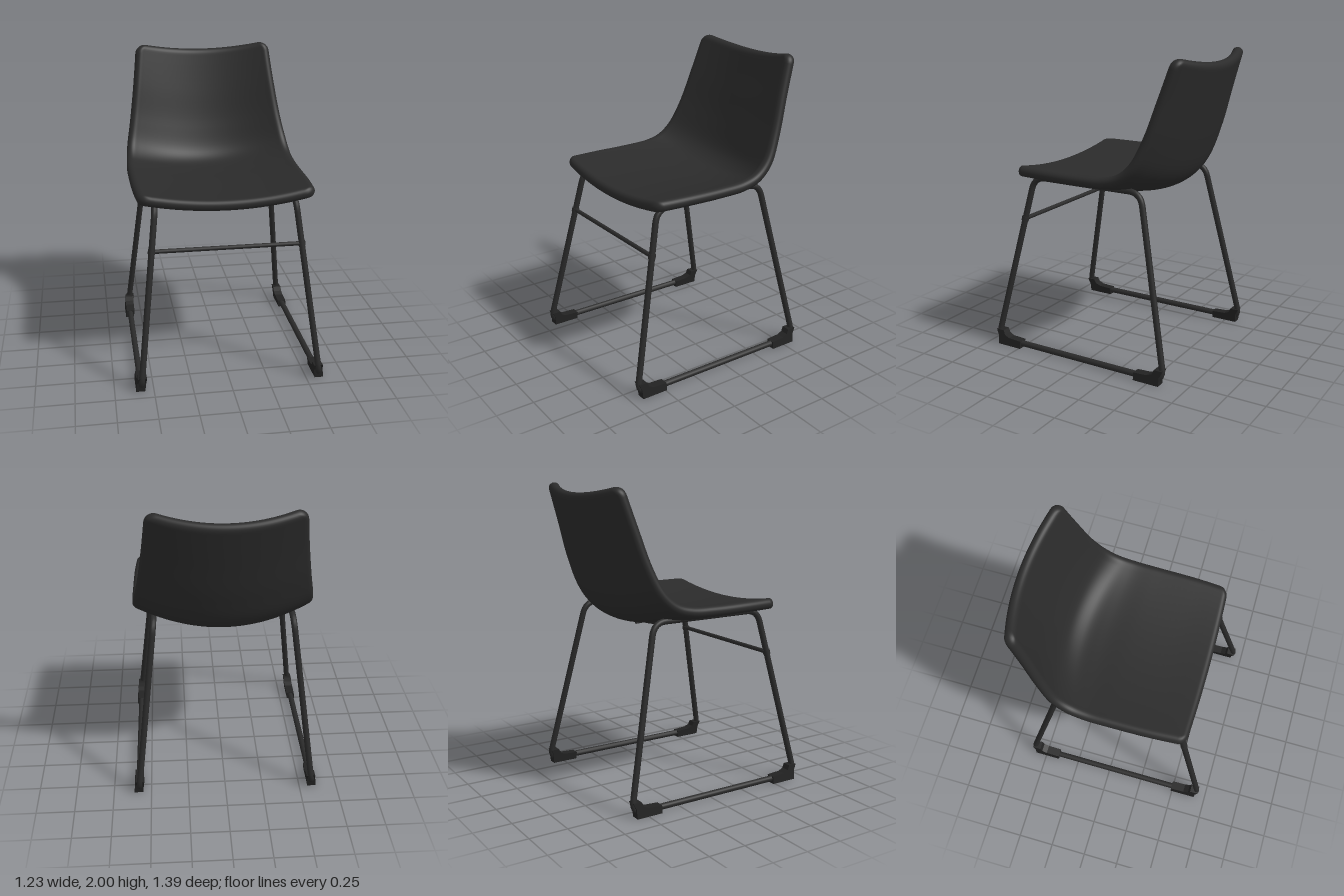
import * as THREE from 'three';
import { mergeVertices } from 'three/addons/utils/BufferGeometryUtils.js';

const shellMat = new THREE.MeshStandardMaterial({ color: 0x2b2b2b });
shellMat.name = 'charcoal upholstery';
const frameMat = new THREE.MeshStandardMaterial({ color: 0x2a2a2a });
frameMat.name = 'dark metal';
const footMat = new THREE.MeshStandardMaterial({ color: 0x222222 });
footMat.name = 'black rubber';

const V = (x, y, z) => new THREE.Vector3(x, y, z);

function add(parent, geometry, material, name) {
  const mesh = new THREE.Mesh(geometry, material);
  mesh.name = name;
  parent.add(mesh);
  return mesh;
}

// Padded bucket shell: a curved mid surface thickened along its normals
function shellGeometry() {
  const centre = new THREE.CatmullRomCurve3([
    V(0, 1.175, 0.535), V(0, 1.16, 0.3), V(0, 1.15, 0), V(0, 1.145, -0.2), V(0, 1.16, -0.34),
    V(0, 1.23, -0.44), V(0, 1.42, -0.52), V(0, 1.67, -0.59), V(0, 1.955, -0.665)]);
  const side = new THREE.CatmullRomCurve3([
    V(0.56, 1.235, 0.52), V(0.575, 1.235, 0.3), V(0.58, 1.235, 0.03), V(0.58, 1.245, -0.14), V(0.573, 1.28, -0.25),
    V(0.56, 1.36, -0.34), V(0.53, 1.52, -0.42), V(0.495, 1.76, -0.5), V(0.465, 2.015, -0.585)]);
  const H = 0.035, R = 0.065, LEN = 2.0, HALF = 0.55;
  const mid = (s, t) => {
    const c = centre.getPoint(t), e = side.getPoint(t), k = s * s;
    return V(e.x * s, c.y + (e.y - c.y) * k, c.z + (e.z - c.z) * k);
  };
  const round = (d, r) => Math.sqrt(Math.max(0, 1 - (1 - Math.min(d / r, 1)) ** 2));
  // Distances across a span, dense near both ends
  const samples = (len, n) => {
    const edge = [];
    for (let i = 0; i <= 10; i++) edge.push(R * (1 - Math.cos(i / 10 * Math.PI / 2)));
    const inner = [];
    for (let i = 1; i < n; i++) inner.push(R + (len - 2 * R) * i / n);
    return [...edge, ...inner, ...edge.map(d => len - d).reverse()];
  };
  const us = samples(2 * HALF, 28), ts = samples(LEN, 50);
  const pos = [], idx = [], cols = us.length;
  for (const sign of [1, -1]) {
    const base = pos.length / 3;
    ts.forEach((dt, j) => {
      const t = dt / LEN, endD = Math.min(dt, LEN - dt);
      const w = side.getPoint(t).x;
      const shrink = (w - R * (1 - round(endD, R))) / w;
      us.forEach((du, i) => {
        const s = (du / HALF - 1) * shrink, e = 0.002;
        const t0 = Math.max(0, t - e), t1 = Math.min(1, t + e);
        const n = mid(s + e, t).sub(mid(s - e, t)).cross(mid(s, t1).sub(mid(s, t0))).normalize();
        const h = H * round(Math.min(du, 2 * HALF - du), H) * round(endD, H);
        const p = mid(s, t).addScaledVector(n, sign * h);
        pos.push(p.x, p.y, p.z);
        if (i && j) {
          const d = base + j * cols + i, c = d - 1, b = d - cols, a = b - 1;
          if (sign > 0) idx.push(a, b, d, a, d, c);
          else idx.push(a, d, b, a, c, d);
        }
      });
    });
  }
  let g = new THREE.BufferGeometry();
  g.setAttribute('position', new THREE.Float32BufferAttribute(pos, 3));
  g.setIndex(idx);
  g = mergeVertices(g, 1e-5);
  g.computeVertexNormals();
  return g;
}

// Frame sides lean inwards as they rise
const leanX = y => 0.585 - 0.117 * y;

// Closed tube loop with rounded corners
function loopGeometry(sign) {
  const corners = [[0.447, 1.175], [-0.357, 1.175], [-0.603, 0.03], [0.693, 0.03]]
    .map(([z, y]) => V(sign * leanX(y), y, z));
  const path = new THREE.CurvePath();
  const near = (a, b) => a.clone().addScaledVector(b.clone().sub(a).normalize(), 0.085);
  corners.forEach((c, i) => {
    const prev = corners[(i + 3) % 4], next = corners[(i + 1) % 4];
    path.add(new THREE.QuadraticBezierCurve3(near(c, prev), c, near(c, next)));
    path.add(new THREE.LineCurve3(near(c, next), near(next, c)));
  });
  return new THREE.TubeGeometry(path, 200, 0.02, 12, true);
}

// Corner glide wrapped round a bottom bend; dir is +1 at the front, -1 at the back
function footGeometry(sign, dir) {
  const outline = [[0, 0], [-0.18, 0], [-0.18, 0.05], [-0.085, 0.055], [-0.05, 0.07], [-0.036, 0.1], [0.022, 0.1], [0.003, 0.06]];
  const toe = dir > 0 ? 0.67 : -0.58;
  const shape = new THREE.Shape(outline.map(([a, y]) => new THREE.Vector2(toe + dir * a, y)));
  const g = new THREE.ExtrudeGeometry(shape, { depth: 0.058, bevelEnabled: false });
  g.translate(0, 0, -0.029).rotateY(-Math.PI / 2);
  const p = g.attributes.position;
  for (let i = 0; i < p.count; i++) p.setX(i, p.getX(i) + sign * leanX(p.getY(i)));
  g.computeVertexNormals();
  return g;
}

export function createModel() {
  const chair = new THREE.Group();
  chair.name = 'chair';
  add(chair, shellGeometry(), shellMat, 'seatShell');

  // Sled legs, feet and crossbar collars
  for (const [sign, label] of [[1, 'left'], [-1, 'right']]) {
    add(chair, loopGeometry(sign), frameMat, label + 'LegLoop');
    add(chair, footGeometry(sign, 1), footMat, label + 'FrontFoot');
    add(chair, footGeometry(sign, -1), footMat, label + 'BackFoot');
    const collar = add(chair, new THREE.CylinderGeometry(0.024, 0.024, 0.03, 12), frameMat, label + 'Collar');
    collar.position.set(sign * leanX(0.89), 0.89, 0.509);
    collar.rotation.set(-0.21, 0, sign * 0.117);
  }

  // Front crossbar
  const bar = add(chair, new THREE.CylinderGeometry(0.014, 0.014, 0.96, 12), frameMat, 'frontCrossbar');
  bar.rotation.z = Math.PI / 2;
  bar.position.set(0, 0.89, 0.509);

  // Bowed supports under the seat and the strip joining them
  for (const [z, y, name] of [[0.26, 1.125, 'frontSupport'], [-0.19, 1.108, 'backSupport']]) {
    const bow = new THREE.QuadraticBezierCurve3(V(-0.45, 1.17, z), V(0, 2 * y - 1.17, z), V(0.45, 1.17, z));
    add(chair, new THREE.TubeGeometry(bow, 32, 0.014, 10), frameMat, name);
  }
  const strip = add(chair, new THREE.BoxGeometry(0.024, 0.026, 0.53), frameMat, 'centreStrip');
  strip.position.set(0, 1.108, 0.045);
  strip.rotation.x = -0.055;
  return chair;
}
